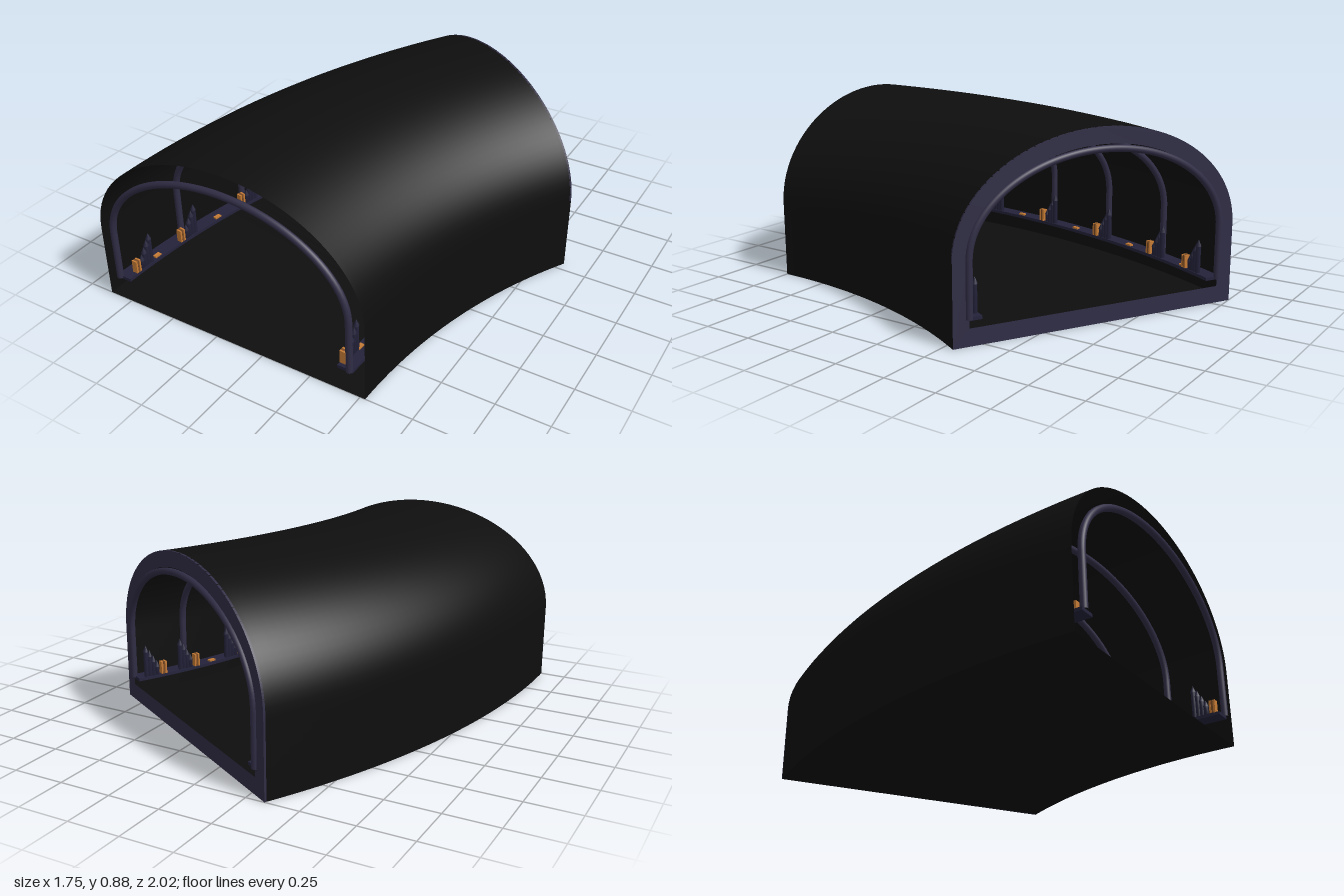
import * as THREE from 'three';

const CX = 3.125, R = 3.3, END = Math.PI / 6; // bend centre, centreline radius, sweep angle
const rad = THREE.MathUtils.degToRad;

const mat = (name, color, side = THREE.FrontSide) => {
  const m = new THREE.MeshStandardMaterial({ color, side });
  m.name = name;
  return m;
};

// Cross-section (u, y) at sweep angle t, moved onto the curved tunnel
const place = (u, y, t) =>
  new THREE.Vector3(CX - (R - u) * Math.cos(t), y, 1 - (R - u) * Math.sin(t));

// Arch line: straight walls below an elliptical vault
function arch(path, half, base, spring, top) {
  path.moveTo(-half, base);
  path.lineTo(-half, spring);
  path.absellipse(0, spring, half, top - spring, Math.PI, 0, true);
  path.lineTo(half, base);
  return path;
}

// Bends a geometry whose z runs from 0 (front) to -1 (back) around the curve
function bend(geo) {
  const p = geo.attributes.position;
  for (let i = 0; i < p.count; i++) {
    const v = place(p.getX(i), p.getY(i), -p.getZ(i) * END);
    p.setXYZ(i, v.x, v.y, v.z);
  }
  geo.computeVertexNormals();
  return geo;
}

function add(parent, name, geo, material, x = 0, y = 0, z = 0) {
  const m = new THREE.Mesh(geo, material);
  m.name = name;
  m.position.set(x, y, z);
  parent.add(m);
  return m;
}

// Group standing across the tunnel at angle t
function station(parent, name, u, t) {
  const g = new THREE.Group();
  g.name = name;
  g.position.copy(place(u, 0, t));
  g.rotation.y = -t;
  parent.add(g);
  return g;
}

export function createModel() {
  const root = new THREE.Group();
  root.name = 'curvedVaultedTunnel';
  const black = mat('black stone', 0x0e0e0e, THREE.DoubleSide);
  const purple = mat('dusky purple trim', 0x302d45);
  const dark = mat('dark spire', 0x23223a);
  const orange = mat('warm orange', 0xc47a34);
  const brown = mat('deep brown', 0x7a4a24);

  // Vault and walls: one thin curved surface
  const N = 72;
  const pts = arch(new THREE.Path(), 0.7, 0, 0.37, 0.875).getSpacedPoints(N);
  const vault = new THREE.PlaneGeometry(1, 1, N, 48);
  const vp = vault.attributes.position;
  for (let i = 0; i < vp.count; i++) {
    const q = pts[Math.round((vp.getX(i) + 0.5) * N)];
    vp.setXYZ(i, q.x, q.y, vp.getY(i) - 0.5);
  }
  add(root, 'vault', bend(vault), black);

  // Floor
  const floor = new THREE.PlaneGeometry(1.4, 1, 1, 48);
  floor.rotateX(-Math.PI / 2).translate(0, 0, -0.5);
  add(root, 'floor', bend(floor), black);

  // Flat frame around the back opening
  const frame = arch(new THREE.Shape(), 0.7, 0, 0.37, 0.875);
  frame.holes.push(arch(new THREE.Path(), 0.625, 0.08, 0.37, 0.8));
  const frameGeo = new THREE.ExtrudeGeometry(frame, { depth: 0.01, bevelEnabled: false, curveSegments: 48 });
  add(station(root, 'backFrame', 0, END), 'frameRing', frameGeo, purple);

  // Ribs every six degrees
  const ribPts = arch(new THREE.Path(), 0.625, 0.12, 0.37, 0.78).getSpacedPoints(40)
    .map((q) => new THREE.Vector3(q.x, q.y, 0));
  const ribGeo = new THREE.TubeGeometry(new THREE.CatmullRomCurve3(ribPts), 80, 0.016, 10);
  for (let k = 0; k < 6; k++) add(station(root, 'ribStation', 0, rad(6 * k)), 'rib', ribGeo, purple);

  // Shared parts for the ledge ornaments
  const spireGeo = (h) => new THREE.LatheGeometry(
    [[0, 0], [0.012, 0], [0.012, h - 0.035], [0.014, h - 0.032], [0, h]]
      .map(([x, y]) => new THREE.Vector2(x, y)), 8);
  const spires = [0.075, 0.105, 0.135, 0.162].map(spireGeo);
  const slab = new THREE.BoxGeometry(0.028, 0.064, 0.009);
  const lowSlab = new THREE.BoxGeometry(0.02, 0.01, 0.035);

  for (const side of [-1, 1]) {
    // Wall ledge
    const ledge = new THREE.BoxGeometry(0.075, 0.015, 1, 1, 1, 48);
    ledge.translate(side * 0.603, 0.12, -0.5);
    add(root, side < 0 ? 'rightLedge' : 'leftLedge', bend(ledge), dark);

    // Ornament clusters near each rib, kept inside the tunnel ends
    for (let k = 0; k < 6; k++) {
      const t = rad(THREE.MathUtils.clamp(6 * k, 1.6, 28));
      const g = station(root, 'ledgeOrnament', side * 0.58, t);
      spires.forEach((geo, i) => add(g, 'spire', geo, dark, 0, 0.126, 0.008 - i * 0.019));
      for (let i = 0; i < 3; i++) {
        add(g, 'uprightSlab', slab, i === 1 ? brown : orange, 0, 0.158, 0.053 - i * 0.01);
      }
      // Low slab lying between clusters
      if (k < 5) add(station(root, 'lowOrnament', side * 0.585, rad(6 * k + 3)), 'lowSlab', lowSlab, orange, 0, 0.131);
    }
  }
  return root;
}
